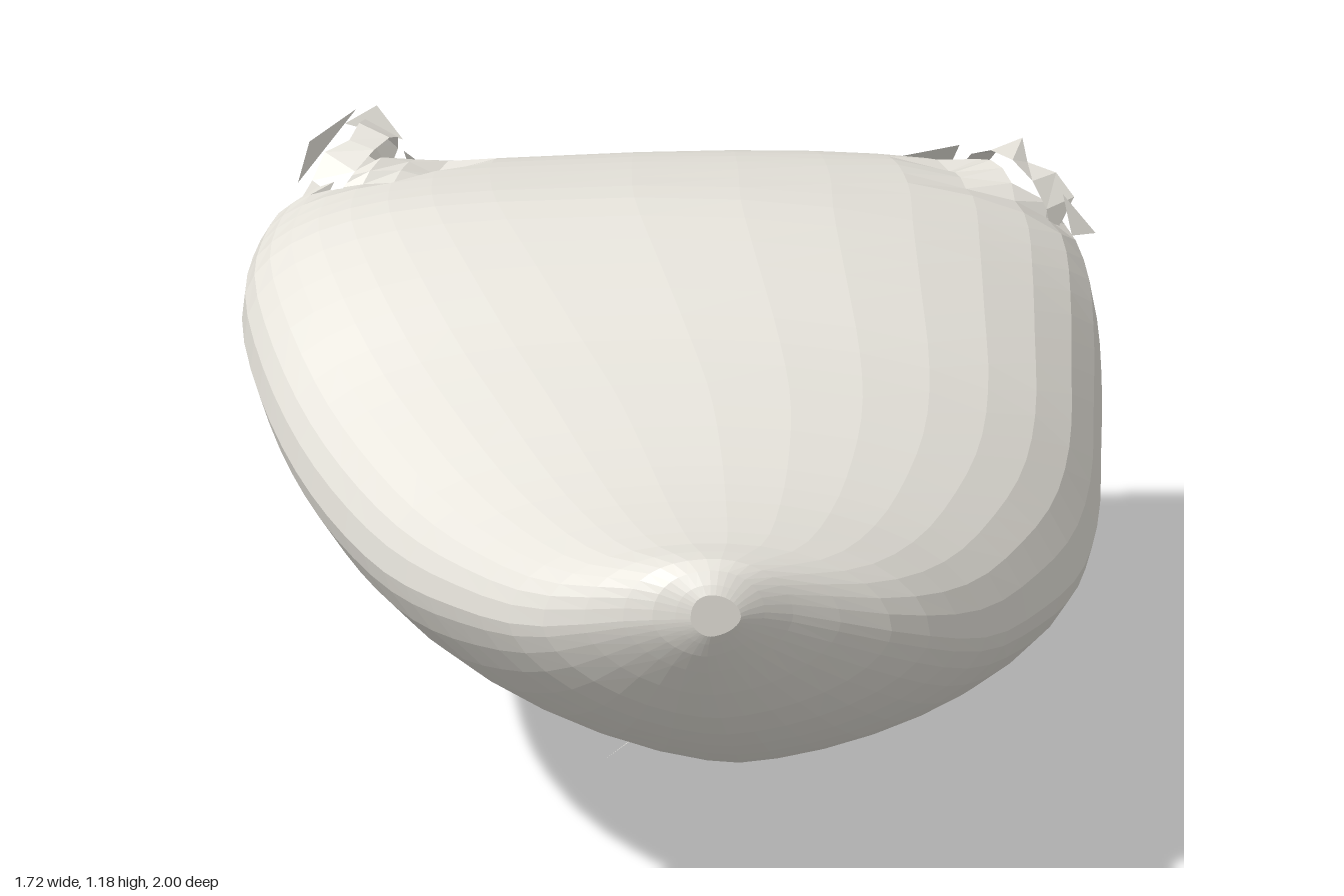
import * as THREE from 'three';

const V = (x, y, z) => new THREE.Vector3(x, y, z);

// Cross-sections from nose to back: z, right-hand edge x,y, left-hand edge x,y, crest x,y, keel x,y
const SECTIONS = [
  [1.0, -0.14, 0.9, -0.04, 0.9, -0.1, 0.95, -0.1, 0.86],
  [0.95, -0.25, 0.88, 0.05, 0.88, -0.1, 1.0, -0.1, 0.77],
  [0.8, -0.44, 0.81, 0.32, 0.75, -0.12, 0.98, -0.05, 0.57],
  [0.6, -0.57, 0.77, 0.5, 0.64, -0.14, 0.975, 0, 0.41],
  [0.4, -0.67, 0.75, 0.63, 0.6, -0.16, 0.99, 0.03, 0.3],
  [0.2, -0.75, 0.77, 0.73, 0.58, -0.19, 1.02, 0.05, 0.23],
  [0, -0.81, 0.81, 0.79, 0.6, -0.24, 1.06, 0.07, 0.19],
  [-0.2, -0.85, 0.87, 0.82, 0.66, -0.3, 1.12, 0.11, 0.165],
  [-0.4, -0.86, 0.93, 0.845, 0.72, -0.35, 1.16, 0.15, 0.125],
  [-0.55, -0.82, 0.98, 0.85, 0.8, -0.35, 1.15, 0.17, 0.18],
  [-0.68, -0.75, 1.02, 0.82, 0.87, -0.33, 1.125, 0.17, 0.28],
  [-0.77, -0.68, 1.03, 0.77, 0.91, -0.3, 1.09, 0.16, 0.43],
  [-0.85, -0.59, 1.0, 0.69, 0.92, -0.25, 1.04, 0.13, 0.6],
  [-0.9, -0.49, 0.95, 0.58, 0.91, -0.1, 0.98, 0.08, 0.75],
  [-0.92, -0.36, 0.91, 0.44, 0.9, 0.02, 0.93, 0.06, 0.83],
];

// Three openings, each with a centre, outward axis and radius
const OPENINGS = [
  { name: 'leftOpeningRim', c: V(0.73, 0.92, -0.77), n: V(0.8, 0.02, -0.6), r: 0.125 },
  { name: 'rightOpeningRim', c: V(-0.63, 1.05, -0.78), n: V(-0.75, 0.42, -0.52), r: 0.13 },
  { name: 'lowerOpeningRim', c: V(0.17, 0.22, -0.6), n: V(0, -0.82, -0.57), r: 0.16 },
];
OPENINGS.forEach(o => o.n.normalize());

const ROWS = 38, COLS = 36;

function geometryFrom(points, index) {
  const g = new THREE.BufferGeometry();
  g.setAttribute('position', new THREE.Float32BufferAttribute(points.flatMap(p => p.toArray()), 3));
  g.setIndex(index);
  g.computeVertexNormals();
  return g;
}

// Smooth interpolation of all section values
function sectionAt(t) {
  const f = t * (SECTIONS.length - 1), i = Math.min(Math.floor(f), SECTIONS.length - 2), u = f - i;
  const row = k => SECTIONS[Math.max(0, Math.min(SECTIONS.length - 1, k))];
  const [a, b, c, d] = [row(i - 1), row(i), row(i + 1), row(i + 2)];
  return b.map((p, k) => p + 0.5 * u * (c[k] - a[k] + u * (2 * a[k] - 5 * p + 4 * c[k] - d[k]
    + u * (3 * (p - c[k]) + d[k] - a[k]))));
}

// A point on a ring made of four rounded quarter curves, fuller above than below
function ringPoint(s, angle, t) {
  const [z, xl, yl, xr, yr, xt, yt, xb, yb] = s;
  const ca = Math.cos(angle), sa = Math.sin(angle);
  const up = sa >= 0, positive = ca >= 0;
  const upper = positive ? 1.9 + 0.8 * t : 2.3 + 0.3 * t;
  const lower = positive ? 1.8 - 0.35 * t : 1.7 - 1.1 * t + 1.2 * t * t;
  const n = up ? upper : lower;
  const u = Math.pow(Math.abs(ca), 2 / n), v = Math.pow(Math.abs(sa), 2 / n);
  const mx = up ? xt : xb, my = up ? yt : yb;
  const ex = positive ? xr : xl, ey = positive ? yr : yl;
  return V(mx + (ex - mx) * u, ey + (my - ey) * v, z);
}

function offsetFrom(p, o) {
  const d = p.clone().sub(o.c), along = d.dot(o.n);
  const out = d.addScaledVector(o.n, -along);
  return { along, out, radial: out.length() };
}

// Hollow pouch, closed at nose and back, cut through at the openings
function pouchGeometry() {
  const points = [], index = [];
  for (let i = 0; i <= ROWS; i++) {
    const s = sectionAt(i / ROWS);
    for (let j = 0; j < COLS; j++) points.push(ringPoint(s, (j / COLS) * Math.PI * 2, i / ROWS));
  }
  points.push(V(-0.09, 0.9, 1.0), V(0.05, 0.88, -0.925));
  // Pull nearby points onto the edge of each opening
  for (const p of points) for (const o of OPENINGS) {
    const { along, out, radial } = offsetFrom(p, o);
    if (Math.abs(along) < 0.2 && radial > o.r * 0.7 && radial < o.r * 1.25) {
      p.copy(o.c).addScaledVector(out, o.r / radial).addScaledVector(o.n, Math.min(along, 0));
    }
  }
  const add = (...tri) => {
    const m = V(0, 0, 0);
    tri.forEach(k => m.addScaledVector(points[k], 1 / 3));
    const cut = OPENINGS.some(o => {
      const { along, radial } = offsetFrom(m, o);
      return Math.abs(along) < 0.25 && radial < o.r * 0.95;
    });
    if (!cut) index.push(...tri);
  };
  const nose = points.length - 2, back = points.length - 1, last = ROWS * COLS;
  for (let j = 0; j < COLS; j++) {
    const k = (j + 1) % COLS;
    add(nose, j, k);
    add(back, last + k, last + j);
    for (let i = 0; i < ROWS; i++) {
      const a = i * COLS + j, b = i * COLS + k, c = a + COLS, d = b + COLS;
      add(a, c, b);
      add(b, c, d);
    }
  }
  return geometryFrom(points, index);
}

// Slightly ragged collar around an opening
function rimGeometry(o, seed) {
  const N = 14, points = [], index = [];
  const side = V(0, 1, 0).cross(o.n).normalize(), up = o.n.clone().cross(side);
  for (let ring = 0; ring < 2; ring++) for (let j = 0; j < N; j++) {
    const a = (j / N) * Math.PI * 2, jag = Math.sin(j * 2.4 + seed) * 0.5 + Math.sin(j * 4.1 + seed * 2) * 0.5;
    const r = o.r * (ring ? 1.02 + 0.1 * jag : 1.12);
    const h = ring ? 0.015 + 0.025 * jag : -0.05;
    points.push(o.c.clone().addScaledVector(side, r * Math.cos(a)).addScaledVector(up, r * Math.sin(a)).addScaledVector(o.n, h));
  }
  for (let j = 0; j < N; j++) {
    const k = (j + 1) % N;
    index.push(j, k, N + j, k, N + k, N + j);
  }
  return geometryFrom(points, index);
}

export function createModel() {
  const group = new THREE.Group();
  const material = new THREE.MeshStandardMaterial({ color: 0xe8e5dd, flatShading: true, side: THREE.DoubleSide });
  const add = (name, geometry) => {
    const mesh = new THREE.Mesh(geometry, material);
    mesh.name = name;
    group.add(mesh);
  };
  add('pouch', pouchGeometry());
  OPENINGS.forEach((o, i) => add(o.name, rimGeometry(o, i * 1.7 + 0.5)));

  // Loose slivers at the torn edges
  const sliver = (name, ...p) => add(name, geometryFrom(p, [0, 1, 2]));
  sliver('lowerSliver', V(0.13, 0.14, -0.41), V(0.17, 0.14, -0.48), V(-0.15, 0, -0.29));
  sliver('rightSliver', V(-0.6, 1.14, -0.86), V(-0.48, 1.08, -0.9), V(-0.52, 1.11, -1.0));
  sliver('rightTopSliver', V(-0.72, 1.12, -0.64), V(-0.69, 1.18, -0.7), V(-0.58, 1.18, -0.84));
  sliver('leftSliver', V(0.8, 1.0, -0.66), V(0.82, 0.9, -0.68), V(0.855, 0.95, -0.58));
  sliver('leftBackSliver', V(0.62, 1.02, -0.87), V(0.6, 0.95, -0.9), V(0.46, 1.02, -0.82));
  return group;
}
